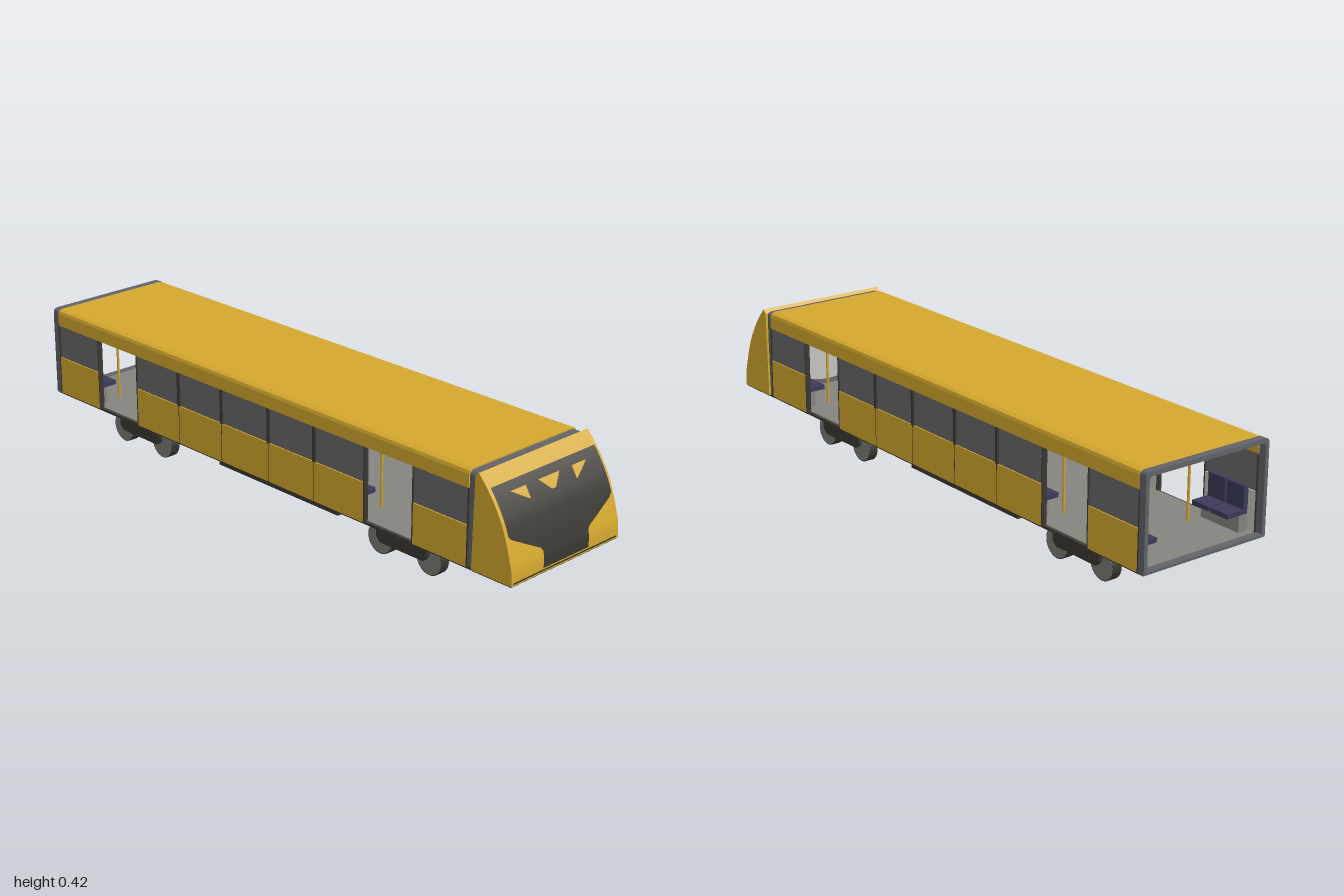
import * as THREE from 'three';
import { toCreasedNormals } from 'three/addons/utils/BufferGeometryUtils.js';

const mat = (name, color, side = THREE.FrontSide) => {
  const m = new THREE.MeshStandardMaterial({ color, side });
  m.name = name;
  return m;
};

export function createModel() {
  const M = {
    yellow: mat('yellow paint', 0xd4a82e),
    black: mat('black trim', 0x3a3832, THREE.DoubleSide),
    grey: mat('grey glass', 0x69696a),
    frame: mat('frame grey', 0x62646a),
    lining: mat('light lining', 0xc4c4c0),
    floor: mat('floor grey', 0x85857f),
    navy: mat('navy seat', 0x3c3a58),
    rim: mat('wheel steel', 0x7a7a76),
    decal: mat('yellow marking', 0xd4a82e, THREE.DoubleSide),
  };
  const root = new THREE.Group();
  root.name = 'railCar';

  const add = (name, geo, material, parent = root) => {
    const m = new THREE.Mesh(geo, material);
    m.name = name;
    parent.add(m);
    return m;
  };
  // box given by its extents
  const box = (name, material, x0, x1, y0, y1, z0, z1, parent = root) => {
    const g = new THREE.BoxGeometry(Math.abs(x1 - x0), y1 - y0, Math.abs(z1 - z0));
    g.translate((x0 + x1) / 2, (y0 + y1) / 2, (z0 + z1) / 2);
    return add(name, g, material, parent);
  };
  const shapeOf = (pts) => new THREE.Shape(pts.map((p) => new THREE.Vector2(p[0], p[1])));
  const extrudeZ = (shape, z0, z1) =>
    new THREE.ExtrudeGeometry(shape, { depth: z1 - z0, bevelEnabled: false }).translate(0, 0, z0);

  // ---- Side walls: painted bands, windows, lining; doorways left open
  const segments = [
    { z: [0.63, 0.835], posts: [] },
    { z: [-0.575, 0.44], posts: [0.235, 0.04, -0.17, -0.37] },
    { z: [-0.975, -0.77], posts: [] },
  ];
  for (const s of [1, -1]) {
    const side = new THREE.Group();
    side.name = s > 0 ? 'leftSide' : 'rightSide';
    root.add(side);
    for (const { z: [a, b], posts } of segments) {
      box('lowerPanel', M.yellow, s * 0.212, s * 0.223, 0.125, 0.25, a, b, side);
      box('windowBand', M.grey, s * 0.212, s * 0.219, 0.25, 0.36, a, b, side);
      box('innerLining', M.lining, s * 0.208, s * 0.212, 0.13, 0.25, a, b, side);
      for (const z of posts) {
        box('windowPost', M.black, s * 0.212, s * 0.225, 0.25, 0.36, z - 0.005, z + 0.005, side);
        box('panelSeam', M.black, s * 0.22, s * 0.2235, 0.125, 0.25, z - 0.001, z + 0.001, side);
      }
      for (const z of [a, b]) {
        box('doorPost', M.black, s * 0.207, s * 0.2235, 0.125, 0.36, z - 0.002, z + 0.002, side);
      }
    }
    // benches along the wall
    for (const [a, b] of [[-0.54, 0.4], [-0.95, -0.8], [0.66, 0.8]]) {
      const n = Math.max(2, Math.round((b - a) / 0.08));
      const w = (b - a) / n;
      for (let i = 0; i < n; i++) {
        const z0 = a + i * w + 0.004, z1 = a + (i + 1) * w - 0.004;
        box('seatPan', M.navy, s * 0.13, s * 0.205, 0.178, 0.192, z0, z1, side);
        box('seatBack', M.navy, s * 0.19, s * 0.206, 0.192, 0.262, z0, z1, side);
      }
      box('seatBase', M.floor, s * 0.17, s * 0.2, 0.13, 0.178, a, b, side);
    }
    // grab poles beside the doorways
    for (const z of [-0.8, -0.545, 0.41, 0.66]) {
      add('grabPole', new THREE.CylinderGeometry(0.004, 0.004, 0.25, 8).translate(s * 0.12, 0.255, z), M.yellow, side);
    }
  }

  // ---- Roof shell, ceiling and floor
  const half = [[0.212, 0.36], [0.223, 0.36], [0.223, 0.4], [0.219, 0.409], [0.205, 0.414]];
  const roofPts = [...half, ...half.slice().reverse().map(([x, y]) => [-x, y]), [-0.205, 0.395], [0.205, 0.395]];
  add('roof', extrudeZ(shapeOf(roofPts), -0.975, 0.835), M.yellow);
  box('ceiling', M.grey, -0.205, 0.205, 0.389, 0.395, -0.975, 0.835);
  box('underfloor', M.black, -0.22, 0.22, 0.12, 0.127, -0.995, 0.86);
  box('floor', M.floor, -0.211, 0.211, 0.127, 0.13, -0.995, 0.835);

  // ---- Rounded end frames
  const endFrame = (name, hw, top, z0, z1) => {
    const rect = (target, w, y0, y1, r) => {
      target.moveTo(-w, y0);
      target.lineTo(w, y0);
      target.lineTo(w, y1 - r);
      target.quadraticCurveTo(w, y1, w - r, y1);
      target.lineTo(-w + r, y1);
      target.quadraticCurveTo(-w, y1, -w, y1 - r);
      target.closePath();
      return target;
    };
    const s = rect(new THREE.Shape(), hw, 0.123, top, 0.018);
    s.holes.push(rect(new THREE.Path(), hw - 0.012, 0.131, top - 0.014, 0.012));
    add(name, extrudeZ(s, z0, z1), M.frame);
  };
  endFrame('rearFrame', 0.223, 0.414, -1, -0.975);
  endFrame('frontFrame', 0.219, 0.41, 0.835, 0.858);
  box('bulkhead', M.grey, -0.207, 0.207, 0.13, 0.395, 0.838, 0.848);
  const oval = new THREE.CircleGeometry(1, 32).scale(0.18, 0.115, 1).rotateY(Math.PI).translate(0, 0.26, 0.836);
  add('bulkheadPanel', oval, M.lining);

  // ---- Nose: side profile swept across the width
  const curve = [[0.125, 1], [0.165, 0.998], [0.2, 0.99], [0.25, 0.975], [0.3, 0.955], [0.35, 0.926], [0.385, 0.9], [0.417, 0.872]];
  const front = new THREE.SplineCurve(curve.map(([y, z]) => new THREE.Vector2(z, y))).getPoints(28);
  const noseShape = shapeOf([...front.map((p) => [p.x, p.y]), [0.86, 0.405], [0.855, 0.125]]);
  const noseGeo = new THREE.ExtrudeGeometry(noseShape, { depth: 0.452, bevelEnabled: false });
  noseGeo.rotateY(-Math.PI / 2).translate(0.226, 0, 0);
  add('nose', toCreasedNormals(noseGeo, 0.5), M.yellow);
  box('noseUnderside', M.black, -0.224, 0.224, 0.1215, 0.1255, 0.856, 0.997);

  const noseZ = (y) => {
    let i = 1;
    while (i < front.length - 1 && front[i].y < y) i++;
    const a = front[i - 1], b = front[i];
    return a.x + ((b.x - a.x) * (y - a.y)) / (b.y - a.y);
  };
  // thin skin lying on the nose, bounded by left and right edges per height
  const skin = (name, material, y0, y1, left, right, off) => {
    const rows = 24, pos = [], idx = [];
    for (let i = 0; i <= rows; i++) {
      const y = y0 + ((y1 - y0) * i) / rows;
      const z = Math.min(noseZ(y) + off, 1);
      pos.push(left(y), y, z, right(y), y, z);
      if (i < rows) {
        const k = i * 2;
        idx.push(k, k + 1, k + 3, k, k + 3, k + 2);
      }
    }
    const g = new THREE.BufferGeometry();
    g.setAttribute('position', new THREE.Float32BufferAttribute(pos, 3));
    g.setIndex(idx);
    g.computeVertexNormals();
    add(name, g, material);
  };
  const maskHalf = (y) => y < 0.195 ? 0.095 : y < 0.255 ? 0.095 + ((y - 0.195) / 0.06) * 0.122 : 0.216;
  skin('windscreenMask', M.black, 0.138, 0.381, (y) => -maskHalf(y), maskHalf, 0.003);
  skin('lowerTrim', M.black, 0.129, 0.134, () => -0.217, () => 0.217, 0.002);
  // yellow markings near the top of the windscreen
  const t = (y) => (y - 0.328) / 0.032;
  skin('centreMarking', M.decal, 0.328, 0.36, (y) => -0.008 - 0.036 * t(y), (y) => 0.008 + 0.036 * t(y), 0.006);
  skin('leftMarking', M.decal, 0.328, 0.36, (y) => 0.096, (y) => 0.1 + 0.058 * t(y), 0.006);
  skin('rightMarking', M.decal, 0.328, 0.36, (y) => -0.1 - 0.058 * t(y), (y) => -0.096, 0.006);

  // ---- Bogies
  for (const zc of [0.53, -0.648]) {
    const bogie = new THREE.Group();
    bogie.name = zc > 0 ? 'frontBogie' : 'rearBogie';
    bogie.position.z = zc;
    root.add(bogie);
    const sideShape = shapeOf([[-0.1, 0.122], [-0.1, 0.06], [-0.085, 0.044], [0.085, 0.044], [0.1, 0.06], [0.1, 0.122]]);
    const plate = (name, x0, x1) => {
      const g = new THREE.ExtrudeGeometry(sideShape, { depth: x1 - x0, bevelEnabled: false });
      add(name, g.rotateY(-Math.PI / 2).translate(x1, 0, 0), M.black, bogie);
    };
    plate('bogieFrame', -0.111, 0.111);
    plate('sideFrame', 0.147, 0.16);
    plate('sideFrame', -0.16, -0.147);
    for (const z of [-0.097, 0.097]) {
      const axle = new THREE.CylinderGeometry(0.012, 0.012, 0.28, 12).rotateZ(Math.PI / 2);
      add('axle', axle.translate(0, 0.0485, z), M.black, bogie);
      for (const s of [1, -1]) {
        const tyre = new THREE.CylinderGeometry(0.0485, 0.0485, 0.03, 28).rotateZ(Math.PI / 2);
        add('wheel', tyre.translate(s * 0.131, 0.0485, z), M.black, bogie);
        const disc = new THREE.CylinderGeometry(0.046, 0.046, 0.0315, 28).rotateZ(Math.PI / 2);
        add('wheelDisc', disc.translate(s * 0.131, 0.0485, z), M.rim, bogie);
      }
    }
  }

  // ---- Equipment under the floor
  box('equipmentBox', M.black, -0.112, 0.112, 0.06, 0.121, -0.32, 0.36);
  box('lowerEquipmentBox', M.black, -0.105, 0.105, 0.034, 0.06, -0.32, 0.215);
  box('keelPlate', M.yellow, -0.003, 0.003, 0.01, 0.035, -0.032, 0.075);
  box('keelPlate', M.yellow, -0.003, 0.003, 0.01, 0.035, -0.145, -0.036);

  return root;
}
